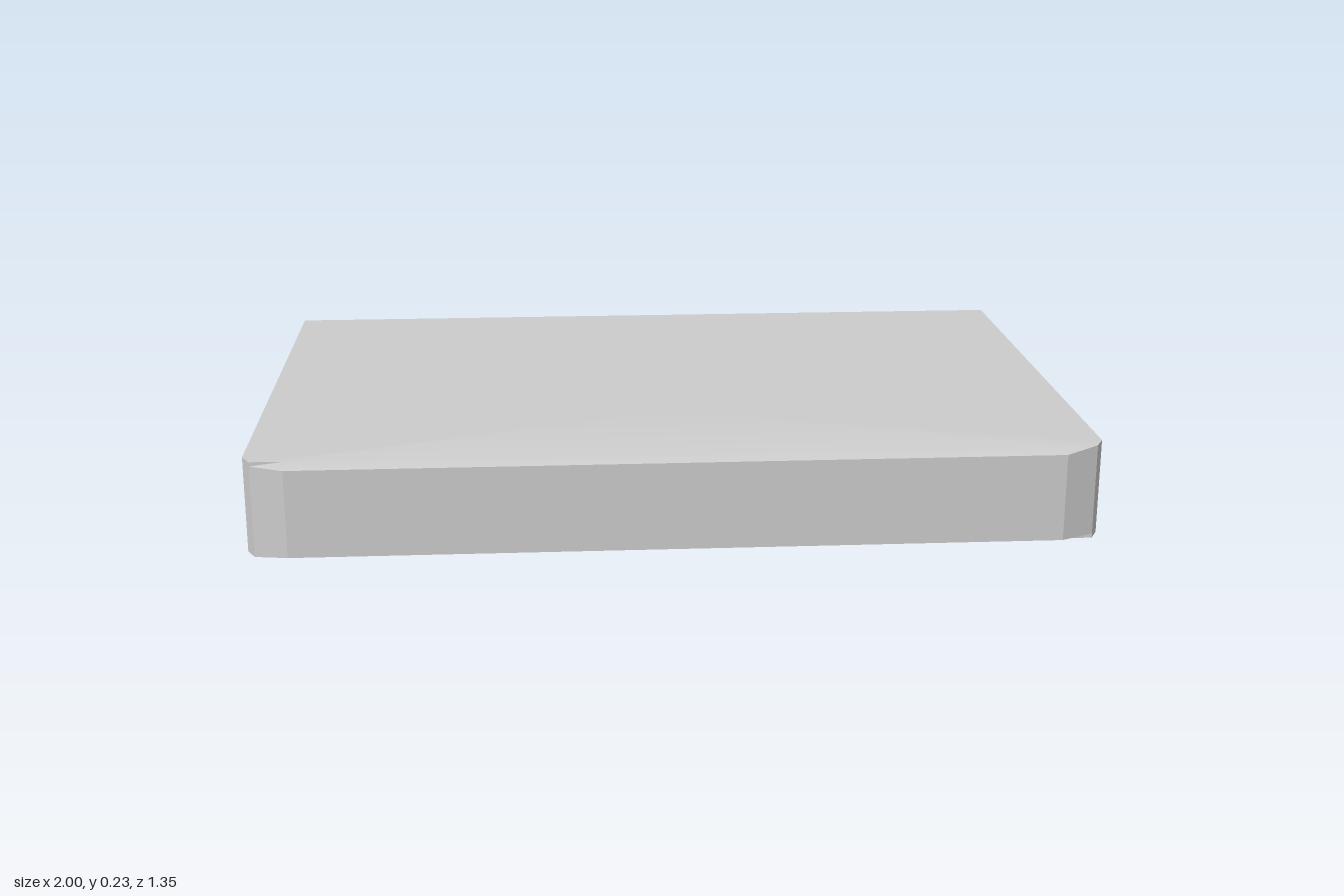
import * as THREE from 'three';
import { toCreasedNormals } from 'three/addons/utils/BufferGeometryUtils.js';

const BACK = -0.675, HINGE = 0.6, HEIGHT = 0.23;
const material = new THREE.MeshStandardMaterial({ color: 0xcccccc });

// Closed solid through rings of equal length; each ring is { y, points: [[x, z], ...] }
function loft(rings) {
  const v = [];
  const at = (r, i) => {
    const [x, z] = r.points[i % r.points.length];
    return [x, r.y, z];
  };
  const n = rings[0].points.length, low = rings[0], high = rings[rings.length - 1];
  for (let i = 0; i < n; i++) {
    for (let k = 0; k + 1 < rings.length; k++) {
      const a = at(rings[k], i), b = at(rings[k], i + 1);
      const c = at(rings[k + 1], i), d = at(rings[k + 1], i + 1);
      v.push(...a, ...c, ...b, ...b, ...c, ...d);
    }
    v.push(0, low.y, 0.3, ...at(low, i), ...at(low, i + 1));
    v.push(0, high.y, 0.3, ...at(high, i + 1), ...at(high, i));
  }
  const g = new THREE.BufferGeometry();
  g.setAttribute('position', new THREE.Float32BufferAttribute(v, 3));
  return toCreasedNormals(g, THREE.MathUtils.degToRad(20));
}

// Mirrors the +x half of an outline (listed back to front) into a full ring
const mirrored = (half) => [...half.map(([x, z]) => [-x, z]).reverse(), ...half];

// Cover outline: the page-side edge can be inset, the front edge can be pulled back
const coverOutline = (inset, front) => {
  const ring = mirrored([
    [1 - inset, BACK + inset], [1 - inset, HINGE - inset / 3],
    [1, HINGE], [0.98, 0.637], [0.9, front],
  ]);
  return ring;
};

function mesh(name, geometry) {
  const m = new THREE.Mesh(geometry, material);
  m.name = name;
  return m;
}

export function createModel() {
  const book = new THREE.Group();
  book.name = 'book';

  // Covers: sloping inner lip, straight edge, softly bevelled front
  const layers = [
    { y: 0.172, points: coverOutline(0.03, 0.675) },
    { y: 0.177, points: coverOutline(0, 0.675) },
    { y: 0.22, points: coverOutline(0, 0.675) },
    { y: HEIGHT, points: coverOutline(0, 0.638) },
  ];
  const flipped = layers.map(({ y, points }) => ({ y: HEIGHT - y, points })).reverse();
  book.add(mesh('topCover', loft(layers)), mesh('bottomCover', loft(flipped)));

  // Spine with faceted corners, joining the two covers
  const spine = mirrored([[0.97, 0.59], [1, HINGE], [0.98, 0.637], [0.9, 0.675]]);
  book.add(mesh('spine', loft([
    { y: HEIGHT - 0.172, points: spine },
    { y: 0.172, points: spine },
  ].map((r) => ({ ...r, points: r.points })))));

  // Page block, set in from the cover edges
  const pages = new THREE.BoxGeometry(1.94, 0.114, 1.235);
  pages.translate(0, HEIGHT / 2, (0.59 - 0.645) / 2);
  book.add(mesh('pages', pages));

  return book;
}
